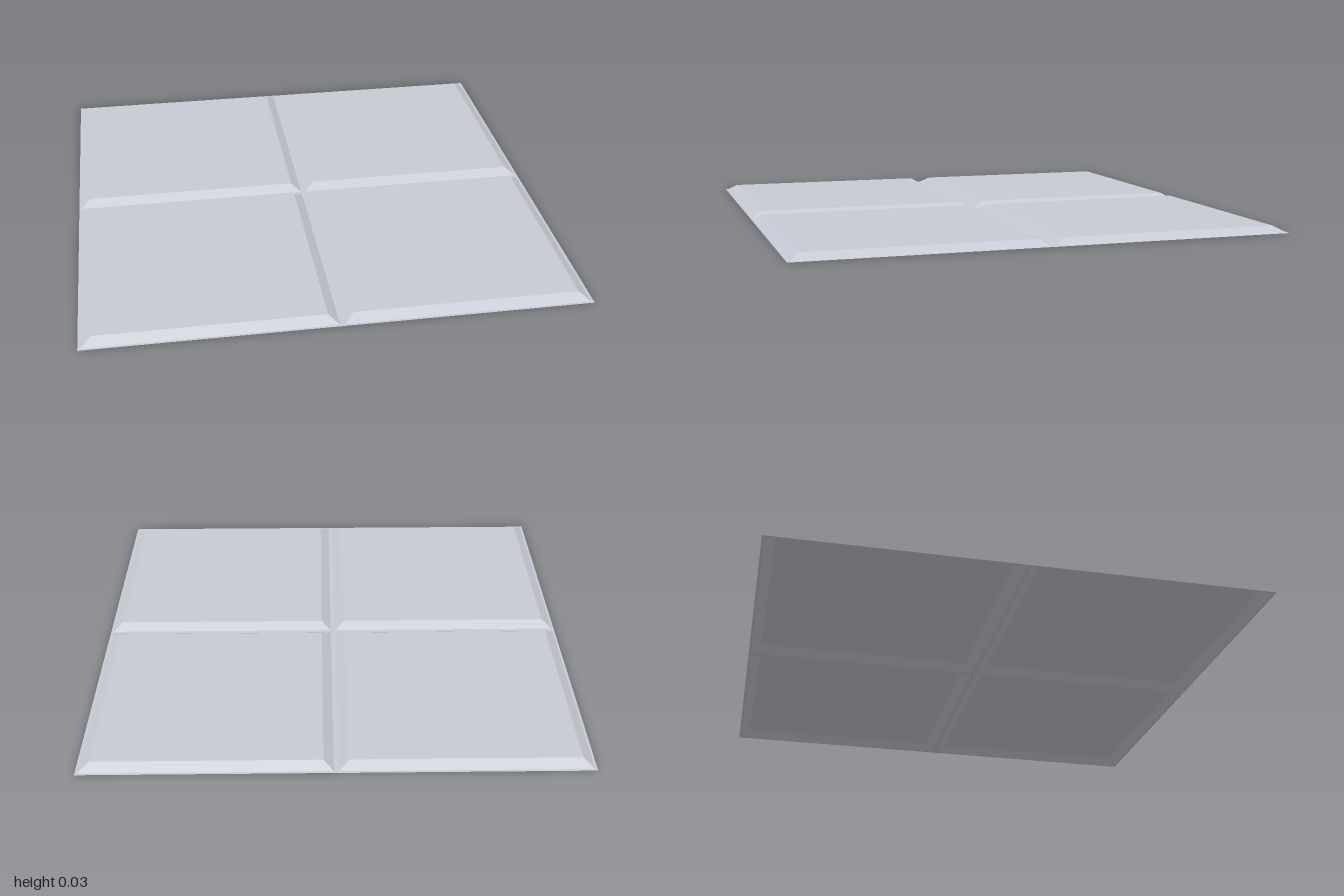
import * as THREE from 'three';

const HEIGHT = 0.025;   // raised height of each panel
const HALF = 0.5;       // half of one tile, including its flat rim
const RIM = 0.01;       // flat strip that forms the joints
const BEVEL = 0.04;     // horizontal run of the sloped edge

// Pressed square sheet: flat rim, sloped edge and raised top, open underneath
function createTileGeometry() {
  const profile = [
    [HALF, 0],
    [HALF - RIM, 0],
    [HALF - RIM - BEVEL, HEIGHT],
    [0, HEIGHT],
  ].map(([r, y]) => new THREE.Vector2(r * Math.SQRT2, y));
  const geometry = new THREE.LatheGeometry(profile, 4, Math.PI / 4).toNonIndexed();
  geometry.computeVertexNormals();
  return geometry;
}

export function createModel() {
  const model = new THREE.Group();
  model.name = 'floorTiles';

  const paleGrey = new THREE.MeshStandardMaterial({ color: 0xc8cad5, side: THREE.DoubleSide, flatShading: true });
  paleGrey.name = 'paleGrey';

  // Two by two grid of identical tiles
  const geometry = createTileGeometry();
  for (const [row, z] of [['back', -HALF], ['front', HALF]]) {
    for (const [side, x] of [['Right', -HALF], ['Left', HALF]]) {
      const tile = new THREE.Mesh(geometry, paleGrey);
      tile.name = `${row}${side}Tile`;
      tile.position.set(x, 0, z);
      model.add(tile);
    }
  }
  return model;
}
